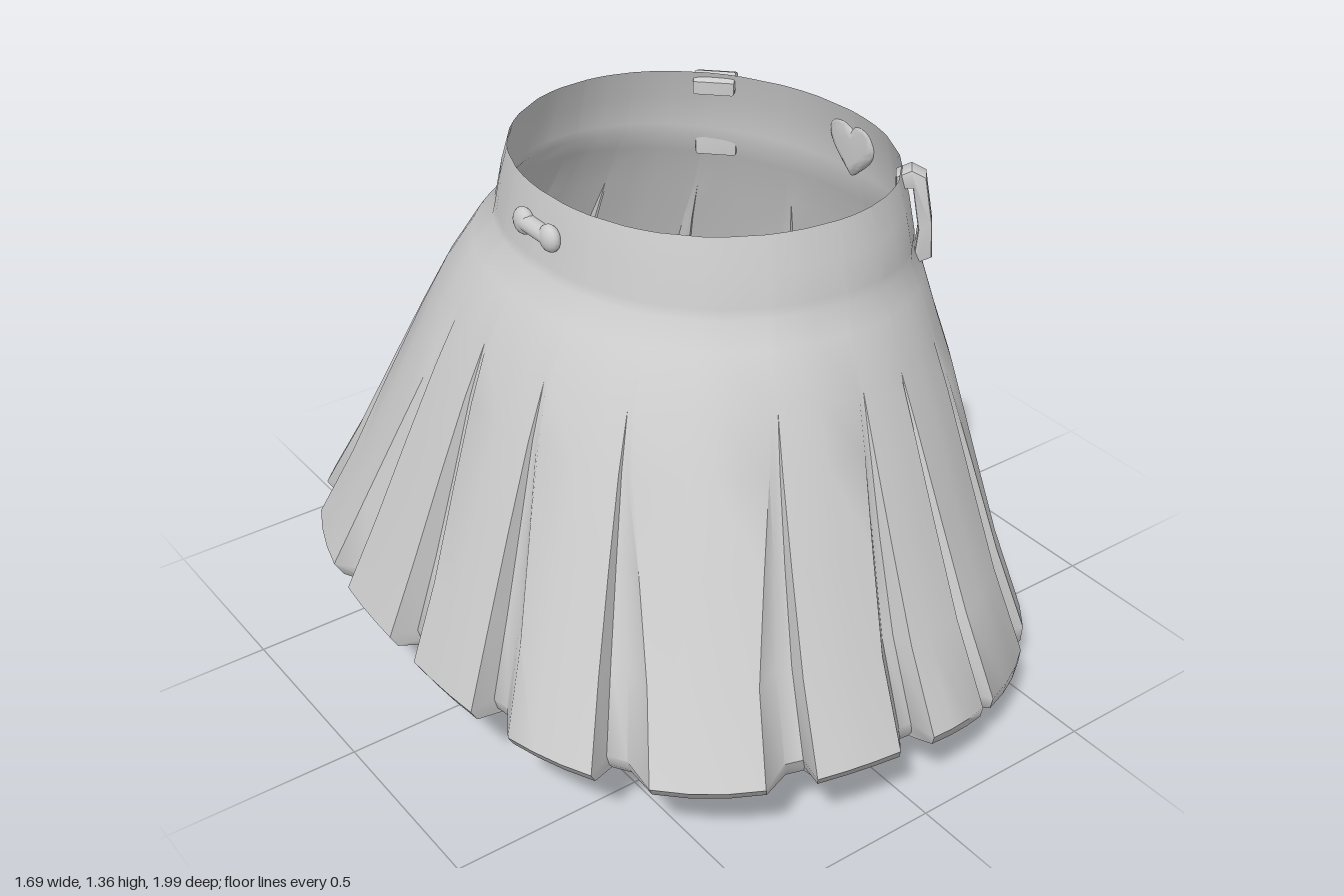
import * as THREE from 'three';
import { toCreasedNormals } from 'three/addons/utils/BufferGeometryUtils.js';

const cloth = new THREE.MeshStandardMaterial({ color: 0xcccccc, side: THREE.DoubleSide });
cloth.name = 'light grey cloth';

// Skirt rings, top to hem: back y, front y, back x, front x, half depth in z, pleat depth, squareness of the back
const RINGS = [
  [1.36, 1.33, -0.38, 0.53, 0.495, 0, 2.1],
  [1.28, 1.25, -0.4, 0.55, 0.52, 0, 2.1],
  [1.2, 1.15, -0.413, 0.565, 0.542, 0, 2.1],
  [1.175, 1.12, -0.42, 0.565, 0.545, 0, 2.1],
  [1.12, 1.06, -0.47, 0.588, 0.582, 0, 2.15],
  [1.0, 0.94, -0.54, 0.62, 0.64, 0, 2.25],
  [0.87, 0.82, -0.6, 0.655, 0.7, 0.012, 2.3],
  [0.67, 0.58, -0.68, 0.71, 0.79, 0.035, 2.4],
  [0.45, 0.32, -0.765, 0.77, 0.89, 0.055, 2.5],
  [0.25, 0.09, -0.845, 0.835, 0.995, 0.07, 2.6],
  [0.215, 0.015, -0.825, 0.845, 0.975, 0.06, 2.6],
  [0.195, 0.0, -0.77, 0.79, 0.925, 0.02, 2.6],
];

// Raised pleats: start and end angle in degrees, 0 at +x and 90 at +z
const PLEATS = [
  [-176, -160], [-153, -138], [-130, -116], [-109, -95], [-90, -80], [-76, -60], [-54, -38], [-28, -8],
  [2, 22], [33, 53], [60, 75], [78, 89], [95, 108], [115, 130], [138, 152], [160, 176],
];

function mesh(name, geometry) {
  const m = new THREE.Mesh(geometry, cloth);
  m.name = name;
  return m;
}

// Columns around the skirt as [angle, sunk, fold line]: pleat faces with sunken folds
// between them; each fold closes towards its steep edge higher up
function columns() {
  const count = PLEATS.length;
  const gaps = PLEATS.map(([, e], i) => {
    const next = i + 1 < count ? PLEATS[i + 1][0] : PLEATS[0][0] + 360;
    const mid = (e + next) / 2;
    const steepFirst = (mid > 0 && mid < 50) || (mid > 80 && mid < 134) || mid < -134;
    return { e, width: next - e, fold: steepFirst ? e : next, inner: steepFirst ? [0.1, 0.5] : [0.5, 0.9] };
  });
  return PLEATS.flatMap(([s, e], i) => {
    const gap = gaps[i];
    const before = gaps[(i + count - 1) % count];
    const startFold = i === 0 ? before.fold - 360 : before.fold;
    const w = e - s;
    return [
      [s, 0, startFold], [s + w / 3, 0, s + w / 3], [e - w / 3, 0, e - w / 3], [e, 0, gap.fold],
      ...gap.inner.map((f) => [e + gap.width * f, 1, gap.fold]),
    ];
  });
}

function skirtGeometry() {
  const cols = columns();
  const n = cols.length;
  const pos = [];
  const idx = [];
  RINGS.forEach(([yb, yf, xb, xf, rz, depth, square], r) => {
    const open = r > 8 ? 1 : 0.2 + 0.8 * Math.min(1, depth / 0.06);
    cols.forEach(([deg, sunk, fold]) => {
      const a = THREE.MathUtils.degToRad(fold + (deg - fold) * open);
      const t = Math.atan2(Math.sin(a) * 0.85, Math.cos(a));
      const p = Math.cos(t) < 0 ? square : 2;
      const k = (Math.abs(Math.cos(t)) ** p + Math.abs(Math.sin(t)) ** p) ** (-1 / p);
      const c = k * Math.cos(t);
      const d = depth * sunk;
      const y = yb + (yf - yb) * THREE.MathUtils.clamp((c * 0.85 + 0.3) / 1.15, 0, 1) ** 1.5;
      pos.push((xb + xf) / 2 + ((xf - xb) / 2 - d) * c, y, (rz - d) * k * Math.sin(t));
    });
    if (r === 0) return;
    for (let i = 0; i < n; i++) {
      const j = (i + 1) % n;
      const u = (r - 1) * n;
      const l = r * n;
      idx.push(u + i, u + j, l + i, u + j, l + j, l + i);
    }
  });
  const g = new THREE.BufferGeometry();
  g.setAttribute('position', new THREE.Float32BufferAttribute(pos, 3));
  g.setIndex(idx);
  return toCreasedNormals(g, 0.8);
}

// Puts an object on the waistband at angle t, its own +z pointing outwards
function onWaist(object, t, y, out = 0) {
  const nx = Math.cos(t) / 0.475;
  const nz = Math.sin(t) / 0.52;
  const len = Math.hypot(nx, nz);
  object.position.set(0.076 + 0.475 * Math.cos(t) + (nx / len) * out, y, 0.52 * Math.sin(t) + (nz / len) * out);
  object.rotation.y = Math.atan2(nx, nz);
  return object;
}

// Belt loop: a bent band hooked over the top of the waistband
function beltLoop(name, width, reach) {
  const outer = [[-0.03, 0.185], [0, 0.2], [0.03 * reach, 0.185], [0.05 * reach, 0.07], [0.055 * reach, -0.02], [0.025, -0.035]];
  const inner = [[0.025, -0.005], [0.03, 0.05], [0.01, 0.165], [-0.03, 0.16]];
  const shape = new THREE.Shape([...outer, ...inner].map(([x, y]) => new THREE.Vector2(x, y)));
  const g = new THREE.ExtrudeGeometry(shape, {
    depth: width - 0.012, bevelEnabled: true, bevelSize: 0.006, bevelThickness: 0.006, bevelSegments: 2,
  });
  g.translate(0, 0, -(width - 0.012) / 2).rotateY(-Math.PI / 2);
  return mesh(name, toCreasedNormals(g, 0.7));
}

// Puffed heart
function heart() {
  const s = new THREE.Shape();
  s.moveTo(0, -0.08);
  s.bezierCurveTo(-0.03, -0.05, -0.088, -0.015, -0.088, 0.03);
  s.bezierCurveTo(-0.088, 0.09, -0.02, 0.09, 0, 0.055);
  s.bezierCurveTo(0.02, 0.09, 0.088, 0.09, 0.088, 0.03);
  s.bezierCurveTo(0.088, -0.015, 0.03, -0.05, 0, -0.08);
  const g = new THREE.ExtrudeGeometry(s, {
    depth: 0.006, bevelEnabled: true, bevelSize: 0.022, bevelOffset: -0.022, bevelThickness: 0.02, bevelSegments: 5, curveSegments: 10,
  });
  return mesh('heartBadge', toCreasedNormals(g, 0.8));
}

// Hanging strap: a long tapered plate with a pointed tip
function strap() {
  const top = new THREE.Vector3(0.44, 1.17, -0.385);
  const tip = new THREE.Vector3(0.64, 0.44, -0.52);
  const up = top.clone().sub(tip);
  const L = up.length();
  up.normalize();
  const side = new THREE.Vector3().crossVectors(up, new THREE.Vector3(0.8, 0, -0.6)).normalize();
  const normal = new THREE.Vector3().crossVectors(side, up);
  const pts = [[0, 0], [0.065, 0.06], [0.045, L], [-0.045, L], [-0.065, 0.06]];
  const g = new THREE.ExtrudeGeometry(new THREE.Shape(pts.map(([x, y]) => new THREE.Vector2(x, y))), {
    depth: 0.012, bevelEnabled: true, bevelSize: 0.01, bevelOffset: -0.005, bevelThickness: 0.01, bevelSegments: 3,
  });
  g.applyMatrix4(new THREE.Matrix4().makeBasis(side, up, normal).setPosition(tip));
  return mesh('hangingStrap', toCreasedNormals(g, 0.6));
}

// Back fastener: a short bar with two knobs
function backFastener() {
  const group = new THREE.Group();
  group.name = 'backFastener';
  const bar = mesh('fastenerBar', new THREE.CapsuleGeometry(0.022, 0.1, 4, 12));
  bar.rotation.z = Math.PI / 2;
  group.add(bar);
  for (const s of [-1, 1]) {
    const knob = mesh('fastenerKnob', new THREE.SphereGeometry(0.034, 16, 10));
    knob.scale.z = 0.65;
    knob.position.x = s * 0.055;
    group.add(knob);
  }
  return group;
}

export function createModel() {
  const model = new THREE.Group();
  model.name = 'pleatedSkirt';
  model.add(mesh('skirt', skirtGeometry()));
  model.add(onWaist(beltLoop('frontBeltLoop', 0.055, 1), 0.76, 1.135));
  model.add(onWaist(beltLoop('strapLoop', 0.11, 1.3), -0.83, 1.13));
  model.add(strap());
  model.add(onWaist(heart(), 0, 1.22, 0.004));
  model.add(onWaist(backFastener(), Math.PI, 1.275, 0.008));
  return model;
}
